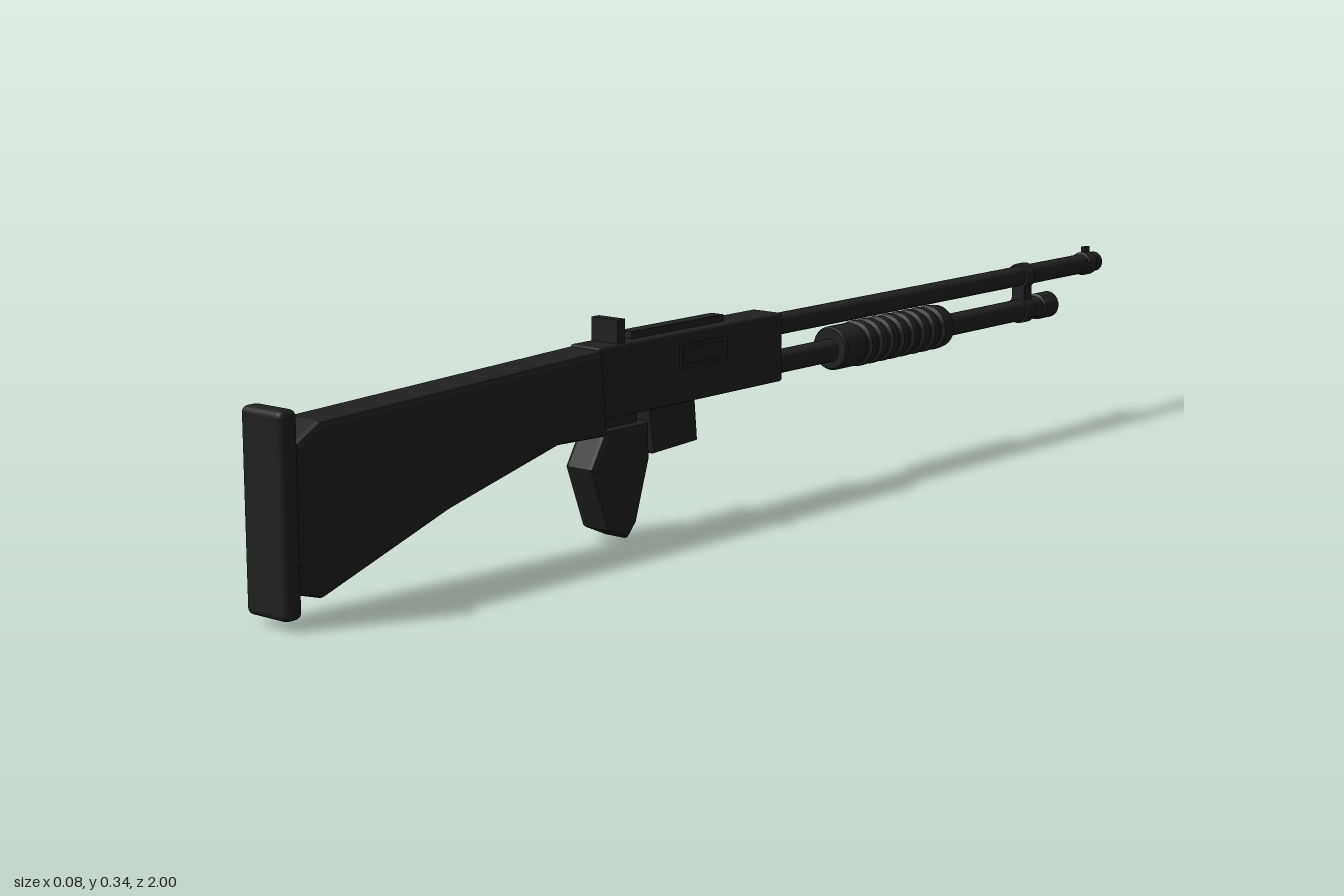
import * as THREE from 'three';
import { toCreasedNormals } from 'three/addons/utils/BufferGeometryUtils.js';
import { RoundedBoxGeometry } from 'three/addons/geometries/RoundedBoxGeometry.js';

export function createModel() {
  const group = new THREE.Group();
  const black = new THREE.MeshStandardMaterial({ color: 0x202020 });
  black.name = 'matte black';

  const add = (name, geometry) => {
    const mesh = new THREE.Mesh(geometry, black);
    mesh.name = name;
    group.add(mesh);
    return mesh;
  };

  // Box given by half width and its y and z ranges
  const box = (name, half, y0, y1, z0, z1, round = 0, x = 0) => {
    const size = [half * 2, y1 - y0, z1 - z0];
    const geometry = round ? new RoundedBoxGeometry(...size, 3, round) : new THREE.BoxGeometry(...size);
    add(name, geometry).position.set(x, (y0 + y1) / 2, (z0 + z1) / 2);
  };

  // Side outline of [z, y] points, extruded across x with bevelled edges
  const slab = (name, half, points, bevel) => {
    const shape = new THREE.Shape(points.map(([z, y]) => new THREE.Vector2(z, y)));
    const geometry = new THREE.ExtrudeGeometry(shape, {
      depth: 2 * (half - bevel), bevelEnabled: true, bevelSize: bevel,
      bevelThickness: bevel, bevelOffset: -bevel, bevelSegments: 2,
    });
    geometry.translate(0, 0, -(half - bevel));
    geometry.rotateY(-Math.PI / 2);
    add(name, geometry);
  };

  // Turned part along z: [distance towards the muzzle, radius] points
  const turned = (name, y, profile) => {
    const points = profile.map(([d, r]) => new THREE.Vector2(r, d));
    const geometry = toCreasedNormals(new THREE.LatheGeometry(points, 24), 0.6);
    geometry.rotateX(-Math.PI / 2);
    add(name, geometry).position.y = y;
  };

  // Stock and butt pad
  box('buttPad', 0.041, 0.013, 0.3, 0.968, 1, 0.01);
  slab('stock', 0.035, [
    [0.97, 0.045], [0.97, 0.25], [0.925, 0.276], [0.365, 0.297],
    [0.355, 0.165], [0.46, 0.168], [0.685, 0.112], [0.925, 0.032],
  ], 0.009);

  // Receiver with its rail, rear sight and ejection port
  box('receiver', 0.03, 0.19, 0.3, -0.06, 0.37, 0.005);
  box('topRail', 0.012, 0.295, 0.311, 0.065, 0.278);
  box('rearSight', 0.026, 0.295, 0.336, 0.308, 0.325);
  const port = new THREE.Shape();
  port.moveTo(0.08, 0.244).lineTo(0.19, 0.244).lineTo(0.19, 0.281).lineTo(0.08, 0.281).closePath();
  const opening = new THREE.Path();
  opening.moveTo(0.086, 0.25).lineTo(0.086, 0.275).lineTo(0.184, 0.275).lineTo(0.184, 0.25).closePath();
  port.holes.push(opening);
  const frame = new THREE.ExtrudeGeometry(port, { depth: 0.004, bevelEnabled: false });
  frame.rotateY(-Math.PI / 2);
  add('ejectionPortFrame', frame).position.x = 0.033;

  // Grip and the block in front of it
  box('gripNeck', 0.014, 0.16, 0.195, 0.27, 0.34);
  slab('grip', 0.028, [
    [0.353, 0.173], [0.386, 0.118], [0.35, 0.02], [0.305, 0.0],
    [0.285, 0.022], [0.255, 0.115], [0.256, 0.173],
  ], 0.008);
  slab('magazine', 0.024, [[0.252, 0.195], [0.242, 0.12], [0.14, 0.125], [0.146, 0.195]], 0.004);

  // Barrel with muzzle ring and front sight
  turned('barrel', 0.276, [
    [0.04, 0], [0.04, 0.0175], [0.955, 0.0175], [0.958, 0.021],
    [0.978, 0.021], [0.981, 0.0175], [1, 0.0175], [1, 0.011], [0.97, 0.011], [0.97, 0],
  ]);
  box('frontSight', 0.004, 0.29, 0.306, -0.978, -0.962);

  // Tube under the barrel and its end cap
  turned('magazineTube', 0.215, [
    [0.04, 0], [0.04, 0.019], [0.81, 0.019], [0.813, 0.023], [0.852, 0.023], [0.856, 0.019], [0.856, 0],
  ]);

  // Clamp joining barrel and tube
  box('barrelClamp', 0.013, 0.2, 0.29, -0.78, -0.757);
  for (const [y, r] of [[0.276, 0.022], [0.215, 0.023]]) {
    turned('clampRing', y, [[0.757, 0], [0.757, r], [0.78, r], [0.78, 0]]);
  }

  // Pump handle with ribs
  const pump = [[0.218, 0], [0.218, 0.033], [0.222, 0.036], [0.272, 0.036]];
  for (let i = 0; i < 8; i++) {
    const d = 0.272 + i * 0.029;
    pump.push([d + 0.003, 0.032], [d + 0.01, 0.032], [d + 0.013, 0.038], [d + 0.026, 0.038]);
  }
  pump.push([0.515, 0.036], [0.519, 0.033], [0.519, 0]);
  turned('pumpHandle', 0.218, pump);

  return group;
}
